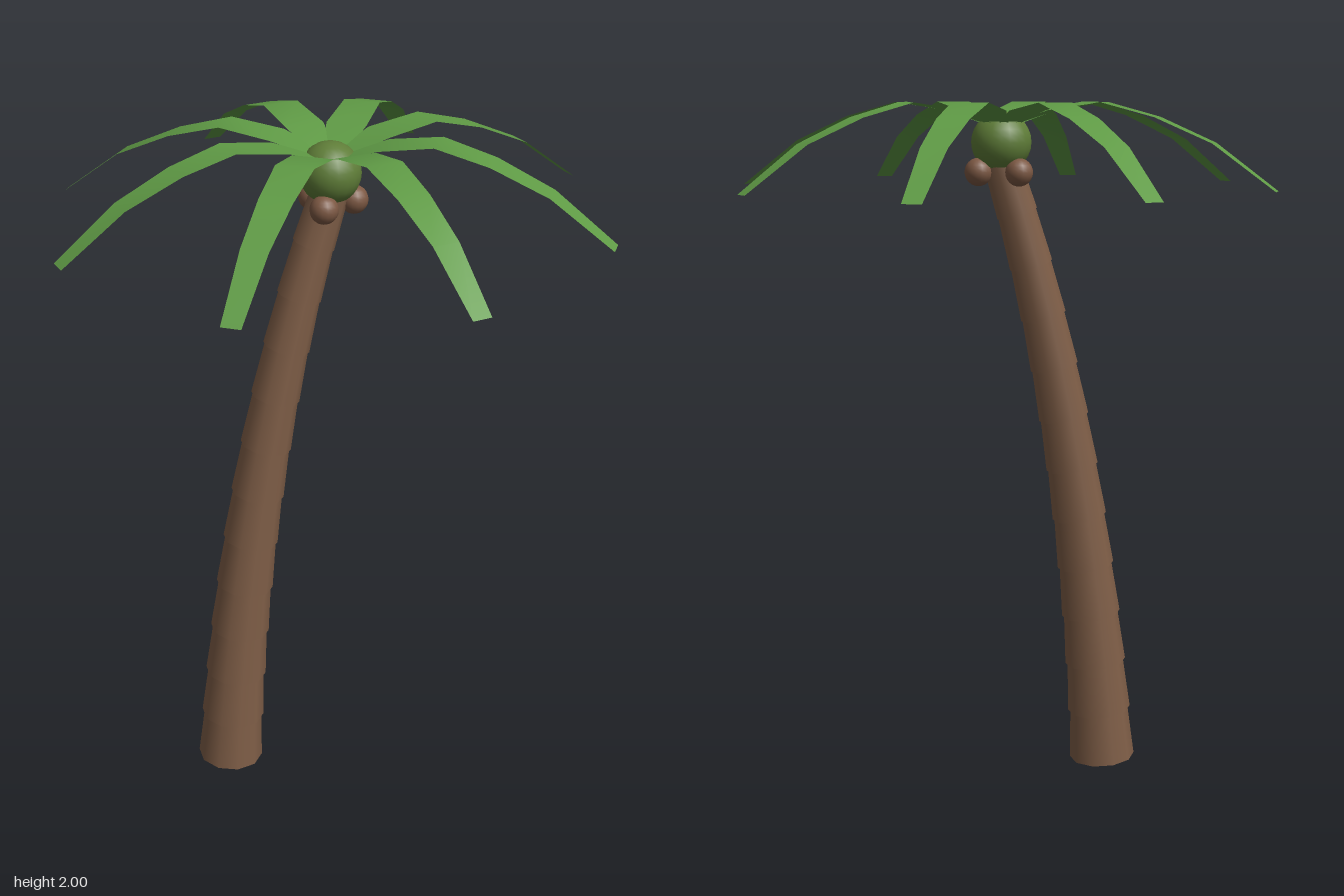
import * as THREE from 'three';

const mat = (name, color, extra = {}) => {
  const m = new THREE.MeshStandardMaterial({ color, ...extra });
  m.name = name;
  return m;
};

// Curved ribbon leaf along +x: each row is [radius, height, width]
function frondGeometry() {
  const rows = [
    [0.0, 1.925, 0.05], [0.15, 1.978, 0.115], [0.3, 2.0, 0.105],
    [0.45, 1.96, 0.092], [0.61, 1.89, 0.075], [0.787, 1.76, 0.054],
  ];
  const pos = [], idx = [];
  rows.forEach(([r, y, w], i) => {
    pos.push(r, y, -w / 2, r, y, w / 2);
    if (i) {
      const a = 2 * i - 2;
      idx.push(a, a + 1, a + 3, a, a + 3, a + 2);
    }
  });
  const g = new THREE.BufferGeometry();
  g.setAttribute('position', new THREE.Float32BufferAttribute(pos, 3));
  g.setIndex(idx);
  g.computeVertexNormals();
  return g;
}

export function createModel() {
  const group = new THREE.Group();
  group.name = 'palmTree';
  const bark = mat('bark brown', 0x7f5e47);
  const nut = mat('coconut brown', 0x7c5843);
  const leaf = mat('leaf green', 0x5f9a45, { side: THREE.DoubleSide });
  const heart = mat('crown olive green', 0x5f7d38);

  const add = (name, geometry, material, parent = group) => {
    const m = new THREE.Mesh(geometry, material);
    m.name = name;
    parent.add(m);
    return m;
  };

  // Leaning trunk: tapered rings, each overhanging the one below
  const trunk = new THREE.Group();
  trunk.name = 'trunk';
  group.add(trunk);
  const path = new THREE.QuadraticBezierCurve3(
    new THREE.Vector3(-0.328, 0.008, 0),
    new THREE.Vector3(-0.255, 1.08, 0),
    new THREE.Vector3(0, 1.835, 0)
  );
  const up = new THREE.Vector3(0, 1, 0);
  const rings = 12;
  for (let i = 0; i < rings; i++) {
    const a = path.getPointAt(i / rings), b = path.getPointAt((i + 1) / rings);
    const dir = b.clone().sub(a);
    const r = 0.099 - 0.0036 * i;
    const ring = add('trunkRing', new THREE.CylinderGeometry(r * 0.89, r, dir.length() + 0.004, 10), bark, trunk);
    ring.position.copy(a).add(b).multiplyScalar(0.5);
    ring.quaternion.setFromUnitVectors(up, dir.normalize());
  }

  // Rounded crown heart
  add('crownHeart', new THREE.SphereGeometry(0.086, 20, 14), heart).position.y = 1.888;

  // Three coconuts under the crown
  for (let i = 0; i < 3; i++) {
    const t = (i * Math.PI * 2) / 3;
    add('coconut', new THREE.SphereGeometry(0.04, 16, 12), nut)
      .position.set(0.068 * Math.cos(t), 1.805, 0.068 * Math.sin(t));
  }

  // Eight drooping fronds
  const frond = frondGeometry();
  for (let i = 0; i < 8; i++) {
    add('frond', frond, leaf).rotation.y = 0.2 + (i * Math.PI) / 4;
  }
  return group;
}
